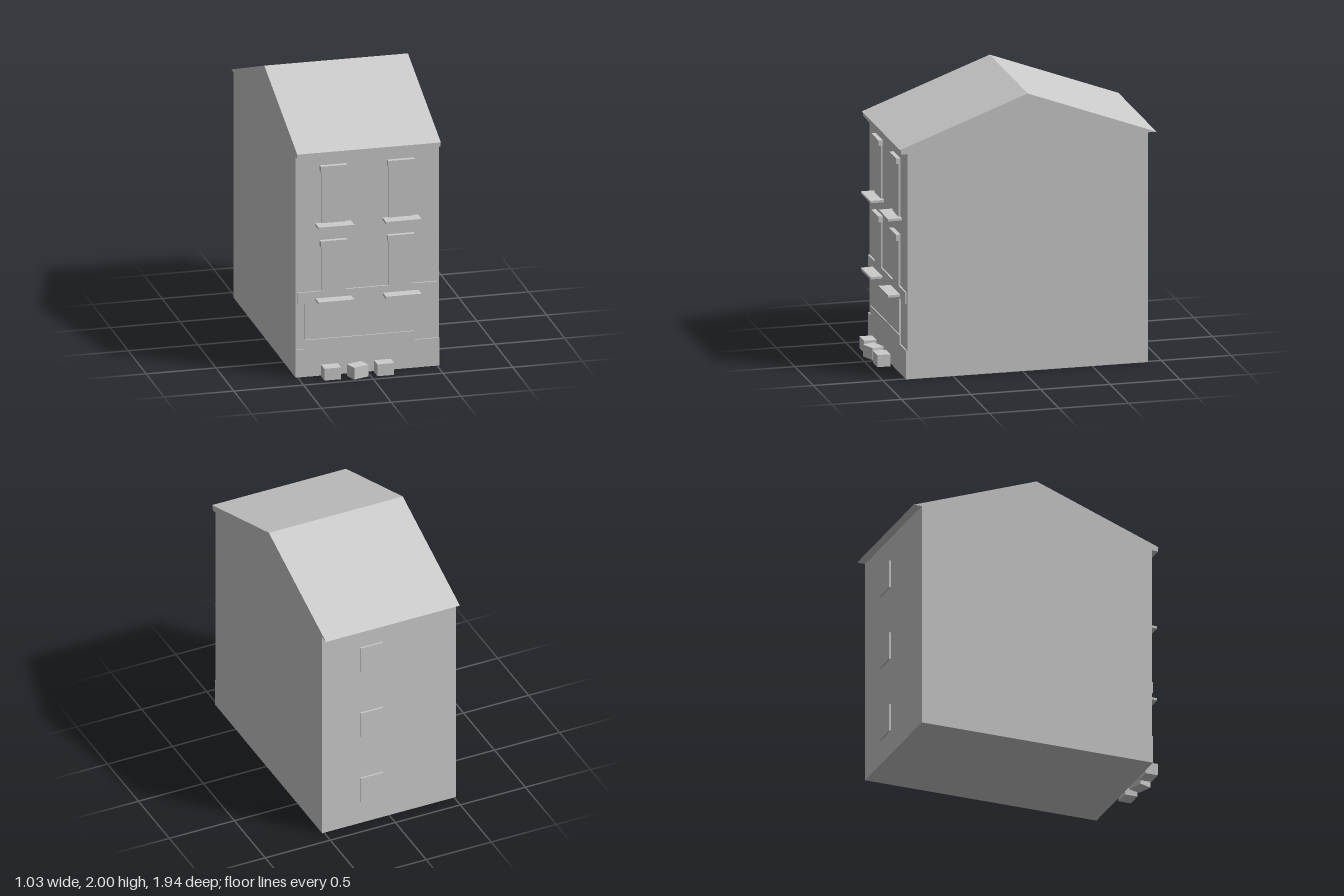
import * as THREE from 'three';

export function createModel() {
  const model = new THREE.Group();
  model.name = 'townHouse';
  const plaster = new THREE.MeshStandardMaterial({ color: 0xcccccc });
  plaster.name = 'plainGrey';

  const HALF = 0.515, FRONT = 0.828, BACK = -0.9, EAVES = 1.657;

  const add = (name, geometry) => {
    const mesh = new THREE.Mesh(geometry, plaster);
    mesh.name = name;
    model.add(mesh);
    return mesh;
  };
  // Box given by its limits on each axis
  const box = (name, x0, x1, y0, y1, z0, z1) => {
    const mesh = add(name, new THREE.BoxGeometry(x1 - x0, y1 - y0, z1 - z0));
    mesh.position.set((x0 + x1) / 2, (y0 + y1) / 2, (z0 + z1) / 2);
    return mesh;
  };
  // Outline extruded along its local z
  const extrude = (name, points, depth) => {
    const shape = new THREE.Shape(points.map(([x, y]) => new THREE.Vector2(x, y)));
    return add(name, new THREE.ExtrudeGeometry(shape, { depth, bevelEnabled: false }));
  };

  // Main block
  box('walls', -HALF, HALF, 0, EAVES, BACK, FRONT);

  // Gabled roof, ridge along x, overhanging front and back
  const roof = extrude('roof', [[-0.882, EAVES], [0.962, EAVES], [0.037, 2]], HALF * 2);
  roof.rotation.y = Math.PI / 2;
  roof.position.x = -HALF;

  // Cornice under the front eaves
  box('cornice', -HALF, HALF, 1.625, EAVES, FRONT, 0.875);

  // Shop front with its sign band, joined to the first floor window panels
  const shop = extrude('shopFront', [
    [-0.45, 0.28], [0.337, 0.28], [0.337, 0.54], [0.497, 0.54], [0.497, 0.623],
    [0.322, 0.623], [0.322, 0.95], [0.153, 0.95], [0.153, 0.623],
    [-0.16, 0.623], [-0.16, 0.95], [-0.33, 0.95], [-0.33, 0.623],
    [-0.503, 0.623], [-0.503, 0.54], [-0.45, 0.54],
  ], 0.012);
  shop.position.z = FRONT;

  // Stepped plinth below the shop window
  const plinth = extrude('plinth', [
    [-HALF, 0], [HALF, 0], [HALF, 0.205], [0.337, 0.205],
    [0.337, 0.27], [-0.45, 0.27], [-0.45, 0.205], [-HALF, 0.205],
  ], 0.009);
  plinth.position.z = FRONT;

  // Lintels, sills and upper window panels
  for (const x of [-0.245, 0.2375]) {
    box('upperWindow', x - 0.085, x + 0.085, 1.12, 1.505, FRONT, 0.84);
    for (const [y0, y1] of [[1.505, 1.545], [0.952, 0.995]]) {
      box('lintel', x - 0.096, x + 0.096, y0, y1, FRONT, 0.86);
    }
    for (const y of [1.105, 0.555]) {
      box('sill', x - 0.128, x + 0.128, y, y + 0.017, FRONT, 0.927);
    }
  }

  // Rear windows
  for (const y of [0.18, 0.73, 1.28]) {
    box('rearWindow', 0.05, 0.225, y, y + 0.203, -0.912, BACK);
  }

  // Crates on the pavement, the middle one turned
  for (const [x, z, turn] of [[-0.277, 0.9, 0], [-0.09, 0.913, 0.35], [0.102, 0.903, 0]]) {
    const crate = box('crate', -0.06, 0.06, 0, 0.087, -0.046, 0.046);
    crate.position.x = x;
    crate.position.z = z;
    crate.rotation.y = turn;
  }

  return model;
}
